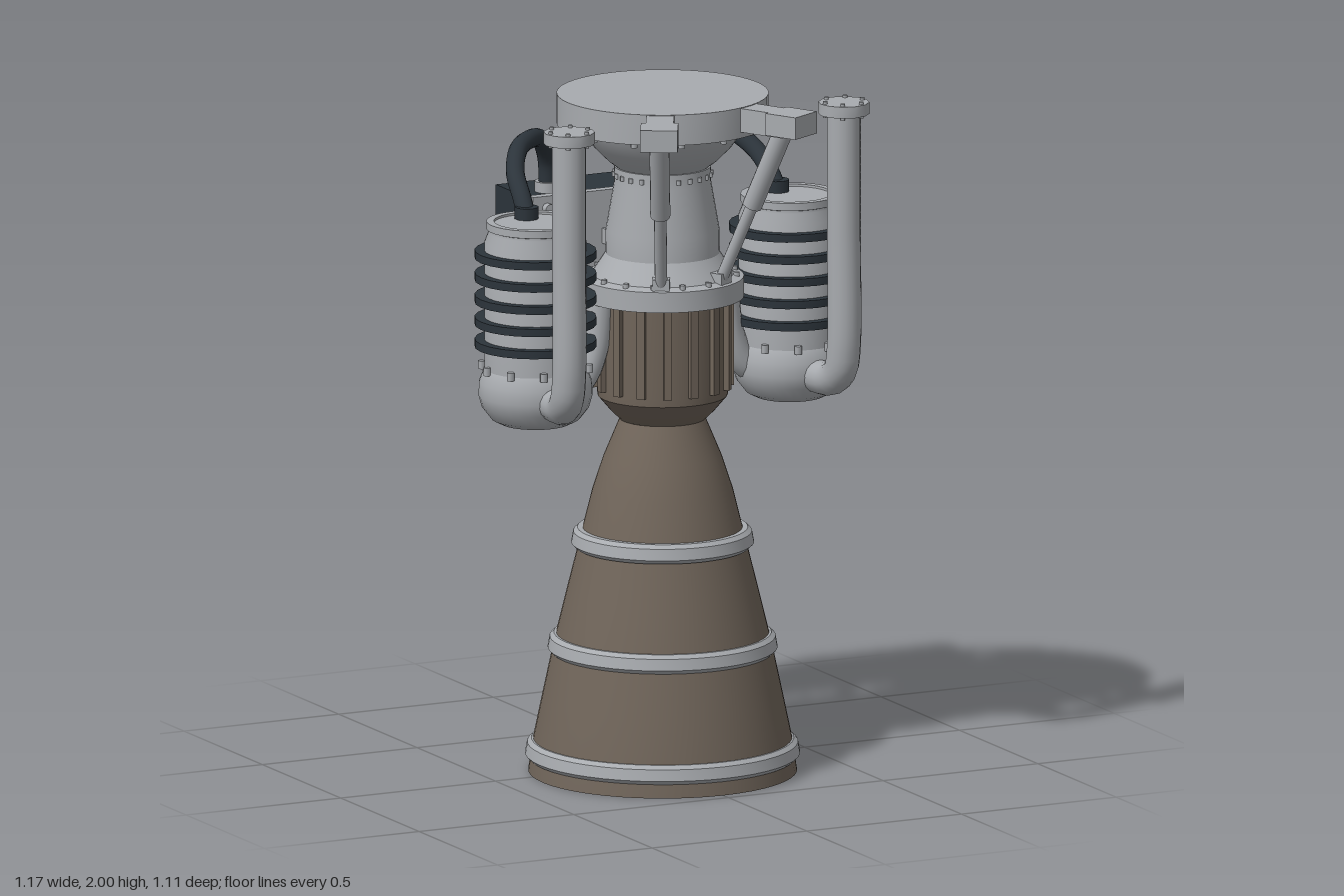
import * as THREE from 'three';
import { toCreasedNormals } from 'three/addons/utils/BufferGeometryUtils.js';

const AXIS_Z = 0.08; // engine centreline

const material = (name, color, side = THREE.FrontSide) => {
  const m = new THREE.MeshStandardMaterial({ color, side });
  m.name = name;
  return m;
};

export function createModel() {
  const metal = material('light grey metal', 0xa8abaf);
  const bronze = material('brown bronze', 0x70655a, THREE.DoubleSide);
  const dark = material('dark slate', 0x2c343b);

  const root = new THREE.Group();
  root.name = 'rocketEngine';

  const add = (parent, name, geometry, mat, x = 0, y = 0, z = 0) => {
    const mesh = new THREE.Mesh(geometry, mat);
    mesh.name = name;
    mesh.position.set(x, y, z);
    parent.add(mesh);
    return mesh;
  };
  const group = (name, parent, x = 0, y = 0, z = 0) => {
    const g = new THREE.Group();
    g.name = name;
    g.position.set(x, y, z);
    parent.add(g);
    return g;
  };
  // profile is [radius, height] from bottom to top
  const lathe = (profile, sides = 40) => toCreasedNormals(
    new THREE.LatheGeometry(profile.map(([r, y]) => new THREE.Vector2(r, y)), sides), 0.55);
  const cyl = (r, h, sides = 24) => new THREE.CylinderGeometry(r, r, h, sides);
  const box = (w, h, d) => new THREE.BoxGeometry(w, h, d);
  const tube = (points, r) => new THREE.TubeGeometry(
    new THREE.CatmullRomCurve3(points.map(p => new THREE.Vector3(...p))), 40, r, 16);
  const boltRing = (parent, name, count, radius, y, r, h) => {
    for (let i = 0; i < count; i++) {
      const a = (i + 0.5) / count * Math.PI * 2;
      add(parent, name, cyl(r, h, 8), metal, Math.sin(a) * radius, y, Math.cos(a) * radius);
    }
  };
  const rod = (parent, name, a, b, r) => {
    const dir = b.clone().sub(a);
    const mesh = add(parent, name, cyl(r, dir.length(), 16), metal);
    mesh.position.copy(a).add(b).multiplyScalar(0.5);
    mesh.quaternion.setFromUnitVectors(new THREE.Vector3(0, 1, 0), dir.normalize());
  };

  const core = group('engineCore', root, 0, 0, AXIS_Z);

  // Nozzle bell, open at the bottom
  const bell = [[0.388, 0], [0.375, 0.09], [0.348, 0.22], [0.314, 0.38], [0.275, 0.54],
    [0.235, 0.7], [0.203, 0.83], [0.17, 0.93], [0.124, 1.04]];
  add(core, 'nozzleBell', lathe(bell, 48), bronze);
  for (const [y, r] of [[0.04, 0.397], [0.352, 0.332], [0.662, 0.264]]) {
    add(core, 'nozzleBand', lathe([[r - 0.04, y], [r - 0.012, y], [r, y + 0.012], [r - 0.006, y + 0.045],
      [r - 0.018, y + 0.056], [r - 0.05, y + 0.056]], 48), metal);
  }

  // Combustion chamber with raised ribs
  add(core, 'combustionChamber', lathe([[0.124, 1.04], [0.15, 1.065], [0.188, 1.11], [0.19, 1.135], [0.19, 1.41]]), bronze);
  for (let i = 0; i < 16; i++) {
    const rib = group('chamberRib', core);
    rib.rotation.y = i / 16 * Math.PI * 2;
    add(rib, 'rib', box(0.024, 0.26, 0.03), bronze, 0, 1.265, 0.19);
  }

  // Collar, neck and gimbal bowl under the top disc
  add(core, 'collar', lathe([[0.18, 1.4], [0.235, 1.4], [0.235, 1.46], [0.205, 1.468], [0.165, 1.53]]), metal);
  boltRing(core, 'collarBolt', 16, 0.215, 1.468, 0.009, 0.016);
  add(core, 'neck', lathe([[0.165, 1.53], [0.164, 1.6], [0.14, 1.74], [0.14, 1.785], [0.128, 1.785]]), metal);
  boltRing(core, 'neckBolt', 24, 0.14, 1.762, 0.007, 0.014);
  add(core, 'bowl', lathe([[0.128, 1.78], [0.16, 1.805], [0.2, 1.845], [0.228, 1.885], [0.245, 1.92]]), metal);
  add(core, 'topDisc', toCreasedNormals(cyl(0.306, 0.09, 48), 0.6), metal, 0, 1.955, 0);
  boltRing(core, 'discBolt', 12, 0.265, 1.903, 0.01, 0.022);

  // Two front mounts with struts down to the collar
  for (const side of [-1, 1]) {
    const mount = group('frontMount', core);
    mount.rotation.y = side * 0.49;
    add(mount, 'mountArm', box(0.08, 0.07, 0.2), metal, 0, 1.963, 0.35);
    add(mount, 'mountBlock', box(0.108, 0.065, 0.105), metal, 0, 1.966, 0.453);
    const top = new THREE.Vector3(0, 1.95, 0.43);
    const foot = new THREE.Vector3(0, 1.46, 0.2);
    const middle = foot.clone().lerp(top, 0.5);
    rod(mount, 'strutRod', foot, middle, 0.018);
    rod(mount, 'strutSleeve', middle, top, 0.029);
    add(mount, 'strutFoot', box(0.05, 0.04, 0.05), metal, 0, 1.475, 0.2);
  }

  // Turbopumps, inlet pipes and hoses, mirrored
  for (const s of [-1, 1]) {
    const pump = group(s > 0 ? 'leftPump' : 'rightPump', root, s * 0.411, 0, AXIS_Z);
    add(pump, 'pumpBody', lathe([[0.148, 1.22], [0.148, 1.6], [0.136, 1.63], [0.136, 1.638],
      [0.142, 1.64], [0.142, 1.662], [0.12, 1.662], [0.12, 1.655], [0, 1.655]], 32), metal);
    add(pump, 'pumpBase', lathe([[0, 1.066], [0.1, 1.066], [0.128, 1.08], [0.155, 1.115], [0.165, 1.15],
      [0.163, 1.19], [0.15, 1.225], [0.14, 1.24]], 32), metal);
    boltRing(pump, 'pumpBolt', 10, 0.157, 1.232, 0.011, 0.024);
    for (let i = 0; i < 5; i++) {
      add(pump, 'pumpRing', toCreasedNormals(cyl(0.176, 0.023, 24), 0.6), dark, 0, 1.303 + i * 0.0655, 0);
    }

    add(root, 'inletPipe', tube([[s * 0.444, 1.96, 0.36], [s * 0.444, 1.6, 0.36], [s * 0.444, 1.26, 0.36],
      [s * 0.442, 1.19, 0.343], [s * 0.434, 1.155, 0.3], [s * 0.42, 1.15, 0.19]], 0.049), metal);
    const flange = group('inletFlange', root, s * 0.444, 0, 0.36);
    add(flange, 'flangeDisc', toCreasedNormals(cyl(0.074, 0.034, 12), 0.6), metal, 0, 1.966, 0);
    boltRing(flange, 'flangeBolt', 6, 0.06, 1.966, 0.007, 0.048);

    add(root, 'pumpDuct', tube([[s * 0.36, 1.14, AXIS_Z], [s * 0.27, 1.17, AXIS_Z],
      [s * 0.222, 1.26, AXIS_Z], [s * 0.2, 1.42, AXIS_Z]], 0.04), metal);

    add(root, 'hose', tube([[s * 0.138, 1.63, -0.38], [s * 0.146, 1.73, -0.37], [s * 0.19, 1.8, -0.325],
      [s * 0.265, 1.822, -0.25], [s * 0.335, 1.812, -0.18], [s * 0.385, 1.765, -0.1],
      [s * 0.4, 1.71, -0.03], [s * 0.405, 1.66, 0.012]], 0.027), dark);
    add(root, 'hoseCollar', cyl(0.035, 0.035, 10), dark, s * 0.405, 1.672, 0.012);
    add(root, 'hoseFitting', cyl(0.038, 0.035, 16), metal, s * 0.138, 1.645, -0.38);
  }

  // Control box behind the chamber
  const control = group('controlBox', root);
  add(control, 'boxBody', box(0.466, 0.46, 0.24), dark, 0, 1.402, -0.405);
  add(control, 'backingPlate', box(0.49, 0.482, 0.03), metal, 0, 1.405, -0.277);
  for (const y of [1.248, 1.4]) add(control, 'boxBand', box(0.478, 0.04, 0.25), metal, 0, y, -0.406);
  for (const x of [-0.2, 0.2]) {
    for (const y of [1.2, 1.61]) {
      add(control, 'plateBolt', cyl(0.016, 0.026, 10), metal, x, y, -0.252).rotation.x = Math.PI / 2;
    }
  }
  add(control, 'supportArm', box(0.045, 0.045, 0.22), metal, 0, 1.512, -0.16);
  add(control, 'knobPanel', box(0.28, 0.065, 0.009), metal, 0, 1.512, -0.529);
  for (const x of [-0.093, 0, 0.093]) {
    add(control, 'knob', cyl(0.016, 0.03, 12), dark, x, 1.512, -0.546).rotation.x = Math.PI / 2;
  }

  return root;
}
